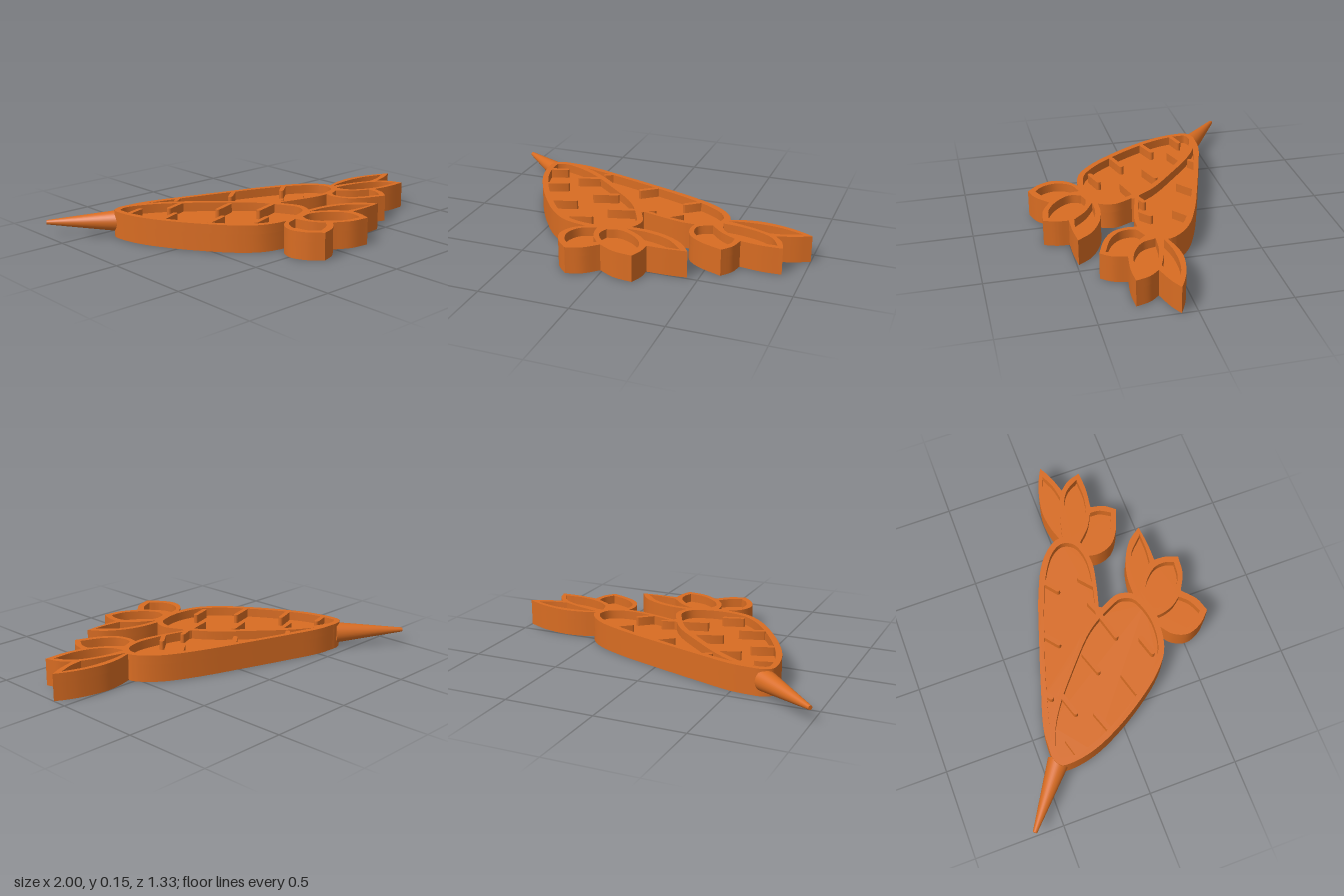
import * as THREE from 'three';
import { toCreasedNormals } from 'three/addons/utils/BufferGeometryUtils.js';

const TOP = 0.15, FLOOR = 0.1, RIM = 0.033;
const material = new THREE.MeshStandardMaterial({ color: 0xd86c22 });

// Smooth curve through flat x, z pairs (hundredths of a unit); plan z points down, so y = -z
function curve(flat, closed = false) {
  const pts = [];
  for (let i = 0; i < flat.length; i += 2) pts.push(new THREE.Vector3(flat[i] / 100, -flat[i + 1] / 100, 0));
  const n = pts.length === 2 ? 1 : pts.length * 5;
  const out = new THREE.CatmullRomCurve3(pts, closed, 'centripetal').getPoints(n);
  out.pop();
  return out.map((p) => new THREE.Vector2(p.x, p.y));
}

// Closed outline of smooth stretches with a sharp corner where each begins.
// Stretches run clockwise in plan; the result is turned counter-clockwise.
function outline(stretches) {
  return stretches
    .flatMap((s, i) => curve([...s, ...stretches[(i + 1) % stretches.length].slice(0, 2)]))
    .reverse();
}

// Move a counter-clockwise outline inward by a fixed distance
function inset(pts, d) {
  return pts.map((p, i) => {
    const a = pts.at(i - 1), b = pts[(i + 1) % pts.length];
    const t = b.clone().sub(a).normalize();
    return new THREE.Vector2(p.x - t.y * d, p.y + t.x * d);
  });
}

function slab(name, outer, holes, y0, y1) {
  const shape = new THREE.Shape(outer);
  shape.holes = holes.map((h) => new THREE.Path(h));
  const geo = new THREE.ExtrudeGeometry(shape, { depth: y1 - y0, bevelEnabled: false });
  geo.rotateX(-Math.PI / 2).translate(0, y0, 0);
  const mesh = new THREE.Mesh(toCreasedNormals(geo, 0.5), material);
  mesh.name = name;
  return mesh;
}

// Shallow tray: solid floor plus raised rim around the recesses
function tray(name, outer, recesses) {
  const g = new THREE.Group();
  g.name = name;
  g.add(slab(name + 'Floor', outer, [], 0, FLOOR), slab(name + 'Rim', outer, recesses, FLOOR, TOP));
  return g;
}

// Raised skin creases with rounded ends, each from one plan point to another
function creases(name, list) {
  const g = new THREE.Group();
  g.name = name;
  for (const [x0, z0, x1, z1] of list) {
    const a = new THREE.Vector2(x0, -z0).divideScalar(100), b = new THREE.Vector2(x1, -z1).divideScalar(100);
    const angle = b.clone().sub(a).angle(), r = 0.013;
    const bar = new THREE.Shape()
      .absarc(b.x, b.y, r, angle - Math.PI / 2, angle + Math.PI / 2)
      .absarc(a.x, a.y, r, angle + Math.PI / 2, angle + Math.PI * 1.5);
    g.add(slab('crease', bar.getPoints(6), [], FLOOR - 0.01, TOP));
  }
  return g;
}

export function createModel() {
  const model = new THREE.Group();
  model.name = 'carrotPair';

  // Front carrot
  const front = curve([-71.5, -41, -72.5, -35.5, -70, -21, -62, -3, -50, 16, -41, 27, -31, 34.8, -18, 38, -5, 37,
    6, 32, 9.5, 23, 6, 13.5, -3, -1.5, -21, -18.5, -39.5, -33.5, -53, -41, -64.5, -44], true);
  model.add(tray('frontCarrot', front, [inset(front, RIM)]));
  model.add(creases('frontCreases', [
    [-69, -30.5, -60, -33], [-61, -10, -51, -13.5], [-48, 12, -36, 8.5], [-29.5, 28.5, -19.5, 25.5],
    [-47, -23.5, -36, -27], [-29, -3.5, -17, -7.5], [-13.5, 13, 1, 9],
  ]));

  // Back carrot, tucked against the rim of the front one
  const back = outline([
    [-64.5, -44, -50, -43, -29, -37, -2, -28.5, 24.5, -19.5, 41.5, -11.5, 50, -4, 53.5, 3, 51, 10, 43.5, 14.5,
      32.5, 16, 19, 13.5],
    [6, 10],
    [4.5, 12.5, -4, 0, -22, -17, -41, -32.8, -55, -40.5],
  ]);
  const backRecess = outline([
    [-53.5, -40.5, -29, -34, -2, -25.5, 22, -17, 38, -9.5, 47, -2.5, 49.8, 4, 47, 10, 39, 13, 29, 13, 14, 10],
    [2, 6.5, -3, -1.5, -21, -18.5, -39.5, -33.5],
  ]);
  model.add(tray('backCarrot', back, [backRecess]));
  model.add(creases('backCreases', [
    [-34.5, -33, -31, -35.5], [-6.5, -18.5, 1, -24.5], [24, -8, 31.5, -14], [3, 9, 10.5, 6], [19.5, 12, 26.5, 6],
  ]));

  // Leaves of the back carrot
  model.add(tray('backLeaves', outline([
    [52, 4, 62, 1, 72.5, 0, 86, 2.5, 94, 5.5],
    [100, 8.5, 93, 12],
    [82, 15.5, 86.5, 21],
    [89, 28.7, 78, 29],
    [66, 27.5, 64, 35],
    [59.5, 41, 46, 35.5, 39, 29.5, 36.5, 21.5],
    [37.5, 14.5, 43, 13.7, 49, 10],
  ]), [
    outline([[53.5, 5.5, 65, 3.5, 81, 4], [94.5, 8, 86, 11.5], [78, 13, 68.5, 9.5, 59.5, 7]]),
    outline([[51.5, 9.5, 62, 10.5, 74, 14, 81, 18.5], [85.5, 26, 73, 26, 62, 23, 54, 17]]),
    outline([[47, 14, 39.8, 18, 40, 25.5, 46, 32], [58.5, 37.5, 62, 31.5], [62.5, 26, 54, 21]]),
  ]));

  // Leaves of the front carrot
  model.add(tray('frontLeaves', outline([
    [5, 31, 16.5, 31.5, 27.5, 34.5, 38, 41],
    [44, 49, 32.5, 50],
    [22, 50, 21.5, 56.5],
    [19, 63.5, 8.5, 62],
    [-1, 57, -8.5, 63.5],
    [-17, 66.5, -23.5, 59.5, -26.5, 51, -23.5, 43],
    [-16.5, 37.5, -3, 36],
  ]), [
    outline([[5, 34, 16.5, 34.5, 30, 39], [39.5, 48, 30, 48], [21.5, 47, 14, 39.5]]),
    outline([[-5, 38.5, 2, 37, 11, 41, 17.5, 48.5, 18.3, 55], [16.5, 60, 7.5, 58.5, -2, 52, -6.5, 44.5]]),
    outline([[-10.5, 38.5, -19, 42, -22.8, 50, -20.5, 58], [-16, 62.5, -8.5, 59], [-4, 54.5, -8, 49, -10, 43]]),
  ]));

  // Tapered root tip
  const tip = new THREE.Vector3(-0.993, 0.082, -0.658), base = new THREE.Vector3(-0.675, 0.082, -0.41);
  const axis = tip.clone().sub(base);
  const root = new THREE.Mesh(new THREE.CylinderGeometry(0.012, 0.06, axis.length(), 32), material);
  root.position.addVectors(tip, base).multiplyScalar(0.5);
  root.quaternion.setFromUnitVectors(new THREE.Vector3(0, 1, 0), axis.normalize());
  root.name = 'rootTip';
  model.add(root);

  return model;
}
